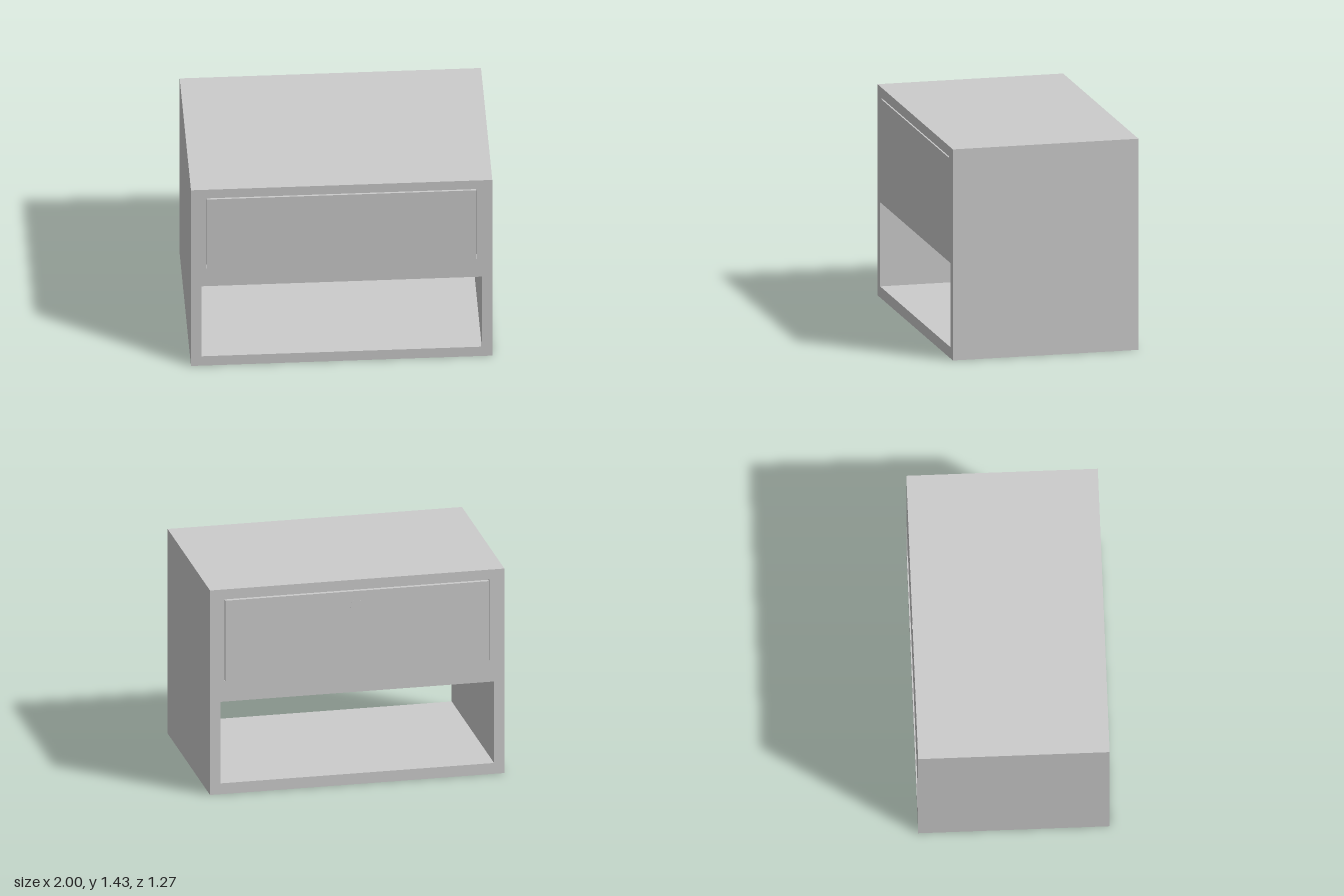
import * as THREE from 'three';

const W = 2, H = 1.435, D = 1.27;
const material = new THREE.MeshStandardMaterial({ color: 0xcccccc, flatShading: true });

// Rectangular outline, usable as a shape or as a hole
function rect(PathType, x0, y0, x1, y1) {
  return new PathType([[x0, y0], [x1, y0], [x1, y1], [x0, y1]].map(p => new THREE.Vector2(...p)));
}

function addBox(parent, name, size, pos) {
  const mesh = new THREE.Mesh(new THREE.BoxGeometry(...size), material);
  mesh.name = name;
  mesh.position.set(...pos);
  parent.add(mesh);
}

export function createModel() {
  const group = new THREE.Group();
  group.name = 'nightstand';

  // Carcass: one block with an open shelf and a drawer bay running front to back
  const outline = rect(THREE.Shape, -W / 2, 0, W / 2, H);
  outline.holes.push(
    rect(THREE.Path, -0.93, 0.076, 0.93, 0.648),
    rect(THREE.Path, -0.9, 0.793, 0.9, 1.365)
  );
  const carcass = new THREE.Mesh(
    new THREE.ExtrudeGeometry(outline, { depth: D, bevelEnabled: false }), material);
  carcass.name = 'carcass';
  carcass.position.z = -D / 2;
  group.add(carcass);

  // Drawer: open-topped box resting in the bay with a narrow gap around it
  const drawer = new THREE.Group();
  drawer.name = 'drawer';
  group.add(drawer);
  const w = 1.792, h = 0.562, t = 0.06, y = 0.793 + h / 2;
  for (const s of [1, -1]) {
    addBox(drawer, s > 0 ? 'drawerFrontPanel' : 'drawerBackPanel',
      [w, h, t], [0, y, s * (D - t) / 2]);
    addBox(drawer, s > 0 ? 'drawerLeftSide' : 'drawerRightSide',
      [t, h, D - 2 * t], [s * (w - t) / 2, y, 0]);
  }
  addBox(drawer, 'drawerBottom', [w - 2 * t, t, D - 2 * t], [0, 0.793 + t / 2, 0]);

  // Round inlay set nearly flush into the back panel
  const inlay = new THREE.Mesh(new THREE.CylinderGeometry(0.045, 0.045, 0.02, 32), material);
  inlay.name = 'drawerInlay';
  inlay.rotation.x = Math.PI / 2;
  inlay.position.set(0, 1.25, -D / 2 + 0.009);
  drawer.add(inlay);

  return group;
}
